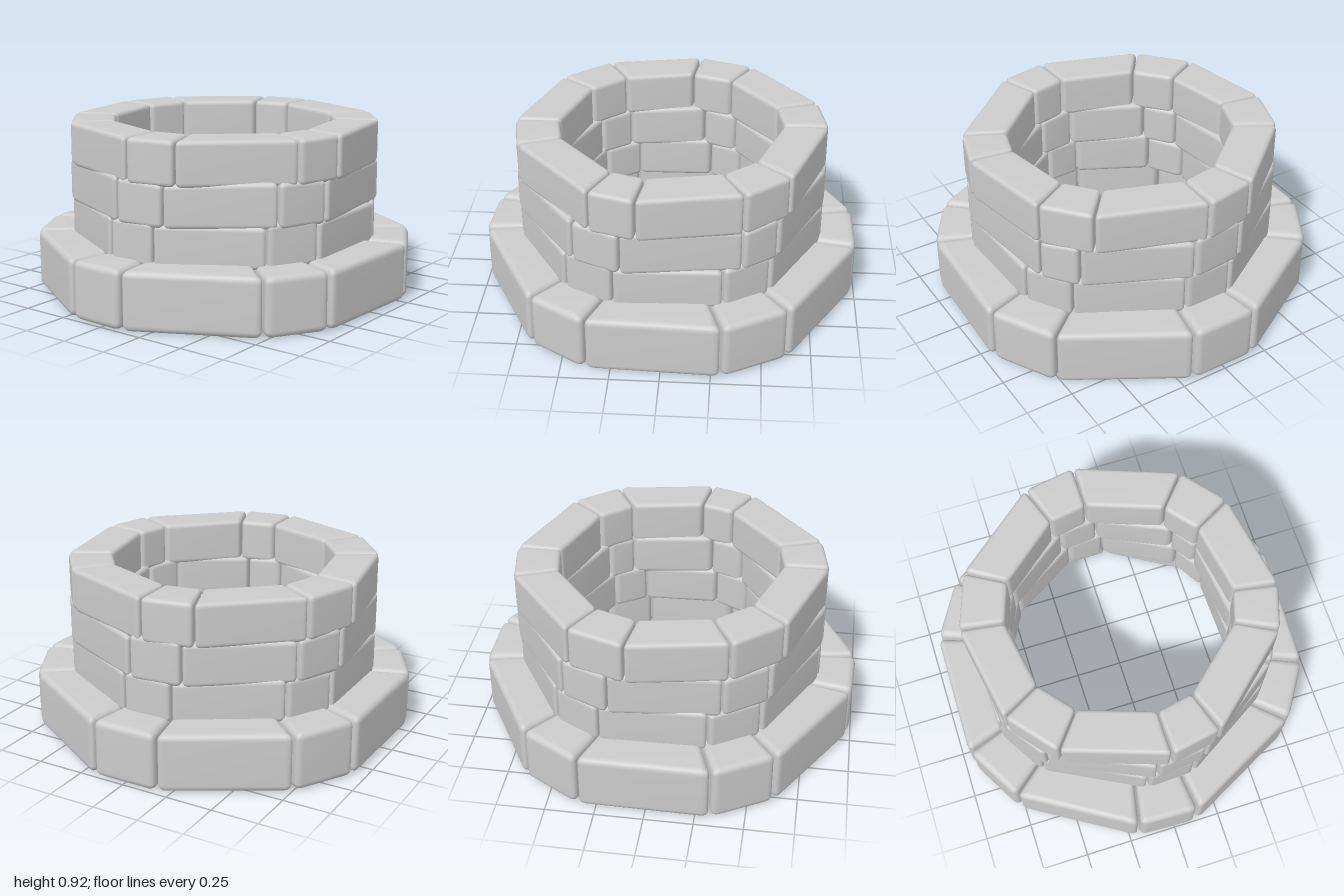
import * as THREE from 'three';
import { RoundedBoxGeometry } from 'three/addons/geometries/RoundedBoxGeometry.js';
import { mergeVertices } from 'three/addons/utils/BufferGeometryUtils.js';

const material = new THREE.MeshStandardMaterial({ color: 0xcccccc });
const GAP = 0.3; // half the joint width, in degrees

// Each course: joint angles in degrees (from +x towards +z), alternating long and short stones
const courses = [
  { name: 'baseCourse', y0: 0, y1: 0.305, inner: 0.69, outer: 1.008, bevel: 0.035, wobble: 0,
    joints: [-79.6, -39.3, -17.7, 22.4, 42.1, 83, 101.6, 140.7, 160.8, 200.4, 220.5, 259.6] },
  { name: 'lowerCourse', y0: 0.28, y1: 0.5, inner: 0.58, outer: 0.815, bevel: 0.025, wobble: 0.008,
    joints: [-82, -41, -22, 18, 38, 78.5, 97, 138, 159, 199, 218, 259] },
  { name: 'middleCourse', y0: 0.48, y1: 0.705, inner: 0.58, outer: 0.82, bevel: 0.025, wobble: 0.008,
    joints: [-85, -44, -29, 15, 34, 74.5, 93.6, 135, 154, 195, 214, 255] },
  { name: 'topCourse', y0: 0.685, y1: 0.915, inner: 0.585, outer: 0.82, bevel: 0.025, wobble: 0,
    joints: [-90, -49.3, -29.1, 9.1, 26.6, 70, 89, 128.9, 151.5, 188.4, 210.4, 250.4] },
];

function polar(radius, degrees) {
  const a = THREE.MathUtils.degToRad(degrees);
  return new THREE.Vector3(radius * Math.cos(a), 0, radius * Math.sin(a));
}

// A rounded block bent into a wedge between two joints; tilt0 and tilt1 lift its top at either end
function wedgeStone(course, from, to, tilt0, tilt1) {
  const { y0, y1, inner, outer, bevel } = course;
  const innerA = polar(inner, to - GAP), innerB = polar(inner, from + GAP);
  const outerA = polar(outer, to - GAP), outerB = polar(outer, from + GAP);
  const w = (outerA.distanceTo(outerB) + innerA.distanceTo(innerB)) / 2;
  const h = y1 - y0, d = outer - inner;

  let geometry = new RoundedBoxGeometry(w, h, d, 2, bevel);
  const pos = geometry.attributes.position;
  const p = new THREE.Vector3(), q = new THREE.Vector3();
  for (let i = 0; i < pos.count; i++) {
    const u = pos.getX(i) / w + 0.5, v = pos.getY(i) / h + 0.5, t = pos.getZ(i) / d + 0.5;
    p.lerpVectors(innerA, innerB, u);
    q.lerpVectors(outerA, outerB, u);
    p.lerp(q, t);
    p.y = y0 + v * (h + THREE.MathUtils.lerp(tilt0, tilt1, u));
    pos.setXYZ(i, p.x, p.y, p.z);
  }
  // Weld the sides so the rounded edges shade smoothly
  geometry.deleteAttribute('normal');
  geometry.deleteAttribute('uv');
  geometry = mergeVertices(geometry, 1e-5);
  geometry.computeVertexNormals();
  return geometry;
}

export function createModel() {
  const well = new THREE.Group();
  well.name = 'stoneWell';
  courses.forEach((course, c) => {
    const ring = new THREE.Group();
    ring.name = course.name;
    const n = course.joints.length;
    course.joints.forEach((from, i) => {
      const to = i + 1 < n ? course.joints[i + 1] : course.joints[0] + 360;
      // Slightly uneven tops on the hidden beds
      const tilt0 = course.wobble * Math.sin(i * 2.3 + c);
      const tilt1 = course.wobble * Math.sin(i * 3.7 + c * 2 + 1);
      const stone = new THREE.Mesh(wedgeStone(course, from, to, tilt0, tilt1), material);
      stone.name = i % 2 === 0 ? 'longStone' : 'shortStone';
      ring.add(stone);
    });
    well.add(ring);
  });
  return well;
}
